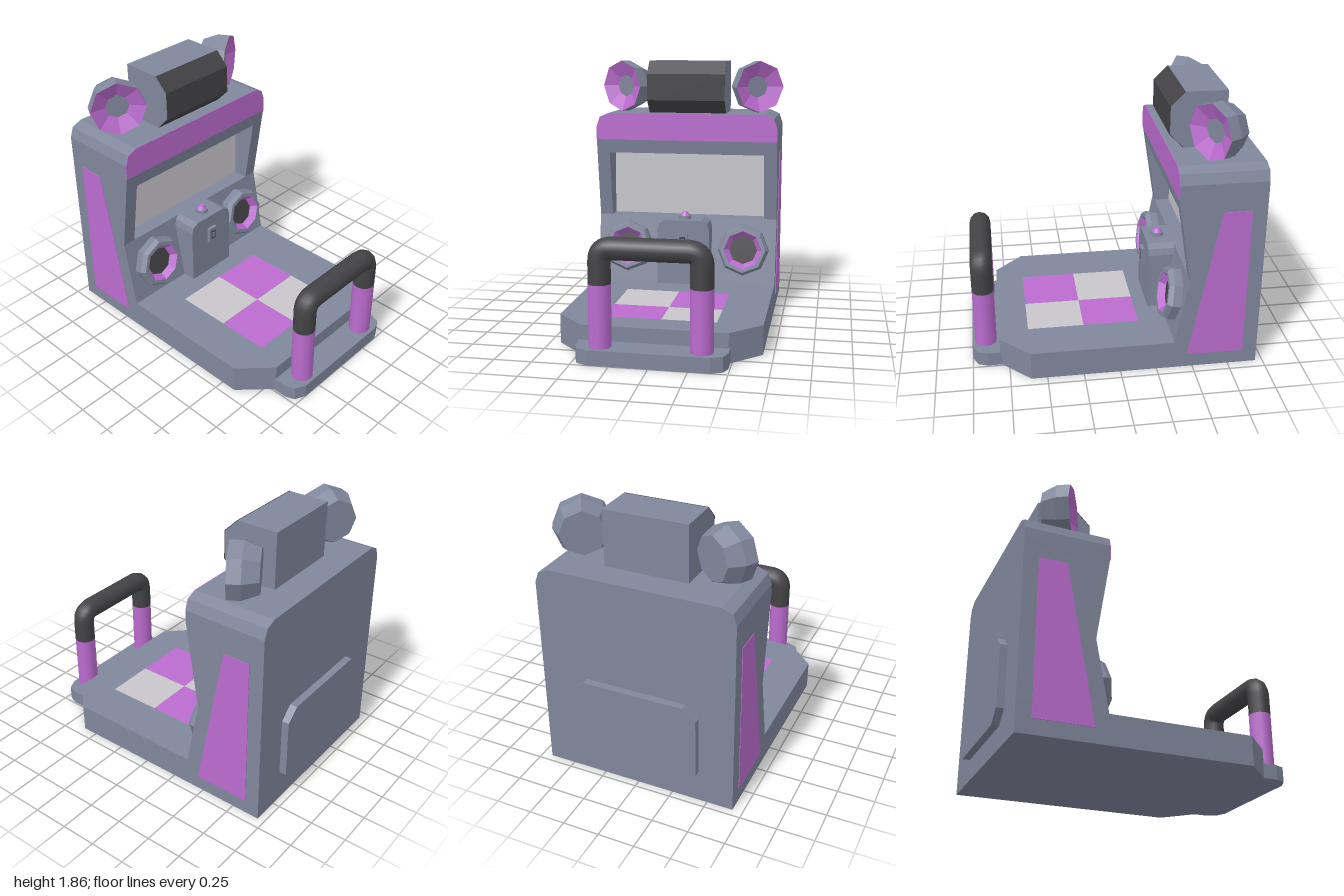
import * as THREE from 'three';

const mat = (name, color) => {
  const m = new THREE.MeshStandardMaterial({ color });
  m.name = name;
  return m;
};

export function createModel() {
  const root = new THREE.Group();
  const grey = mat('blue grey', 0x80879c);
  const purple = mat('purple', 0xbb6ccf);
  const light = mat('light grey', 0xc8c6cb);
  const dark = mat('charcoal', 0x444346);

  const add = (name, geo, material, parent = root) => {
    const mesh = new THREE.Mesh(geo, material);
    mesh.name = name;
    parent.add(mesh);
    return mesh;
  };
  const box = (name, material, x0, x1, y0, y1, z0, z1) =>
    add(name, new THREE.BoxGeometry(x1 - x0, y1 - y0, z1 - z0)
      .translate((x0 + x1) / 2, (y0 + y1) / 2, (z0 + z1) / 2), material);
  const shapeOf = pts => new THREE.Shape(pts.map(p => new THREE.Vector2(...p)));
  const extrude = (shape, depth) => new THREE.ExtrudeGeometry(shape, { depth, bevelEnabled: false });
  // Side profile of [z, y] points, extruded from x0 to x1
  const alongX = (pts, x0, x1) =>
    extrude(shapeOf(pts.map(([z, y]) => [-z, y])), x1 - x0).rotateY(Math.PI / 2).translate(x0, 0, 0);
  // Front outline of [x, y] points, extruded from z0 to z1
  const alongZ = (pts, z0, z1) => extrude(shapeOf(pts), z1 - z0).translate(0, 0, z0);
  // Plan shape drawn in [x, -z], extruded from y0 to y1
  const alongY = (shape, y0, y1) => extrude(shape, y1 - y0).rotateX(-Math.PI / 2).translate(0, y0, 0);
  // Complete a right-hand half outline by mirroring it in x
  const mirror = half => [...half, ...half.map(([x, y]) => [-x, y]).reverse()];
  // Faceted eight-sided surface about z, profile of [radius, z]
  const octagon = pts => {
    const g = new THREE.LatheGeometry(pts.map(p => new THREE.Vector2(...p)), 8)
      .rotateX(Math.PI / 2).toNonIndexed();
    g.computeVertexNormals();
    return g;
  };

  // Platform with a shallow recess for the dance pads
  const W = 0.68, back = -0.95;
  const plan = mirror([[W, -back], [W, -0.61], [0.48, -0.81]]);
  const rim = shapeOf(plan);
  const px = [-0.405, -0.012, 0.378], pz = [-0.18, 0.214, 0.61];
  rim.holes.push(new THREE.Path([[px[0], -pz[0]], [px[2], -pz[0]], [px[2], -pz[2]], [px[0], -pz[2]]]
    .map(p => new THREE.Vector2(...p))));
  add('platformBase', alongY(shapeOf(plan), 0, 0.16), grey);
  add('platformRim', alongY(rim, 0.16, 0.2), grey);
  for (let i = 0; i < 2; i++)
    for (let j = 0; j < 2; j++)
      box('dancePad', i === j ? light : purple, px[i], px[i + 1], 0.16, 0.164, pz[j], pz[j + 1]);

  // Front step carrying the hand rail
  add('frontStep', alongY(shapeOf(mirror(
    [[0.49, -0.8], [0.49, -0.9], [0.465, -0.965], [0.39, -1]])), 0, 0.1), grey);

  // Hand rail: purple posts and a charcoal grip with tight bends
  const railZ = 0.905, legX = 0.325, r = 0.075;
  for (const s of [-1, 1])
    add('railPost', new THREE.CylinderGeometry(r, r, 0.41, 12).translate(s * legX, 0.305, railZ), purple);
  const v = (x, y) => new THREE.Vector3(x, y, railZ);
  const grip = new THREE.CurvePath();
  const bend = (a, b, c) => grip.add(new THREE.QuadraticBezierCurve3(a, b, c));
  grip.add(new THREE.LineCurve3(v(-legX, 0.51), v(-legX, 0.65)));
  bend(v(-legX, 0.65), v(-legX, 0.735), v(-0.24, 0.735));
  grip.add(new THREE.LineCurve3(v(-0.24, 0.735), v(0.24, 0.735)));
  bend(v(0.24, 0.735), v(legX, 0.735), v(legX, 0.65));
  grip.add(new THREE.LineCurve3(v(legX, 0.65), v(legX, 0.51)));
  add('railGrip', new THREE.TubeGeometry(grip, 64, r, 12), dark);

  // Cabinet: lower block, two pillars beside the screen, rear block and top
  const waistZ = -0.46, topZ = -0.37;
  const slopeZ = y => waistZ + (topZ - waistZ) * (y - 0.68) / 0.59;
  const screenZ = -0.57, sw = 0.585;
  add('lowerCabinet', alongX([[back, 0.2], [topZ, 0.2], [waistZ, 0.68], [back, 0.68]], -W, W), grey);
  const pillar = [[back, 0.68], [waistZ, 0.68], [slopeZ(1.17), 1.17], [back, 1.17]];
  add('rightPillar', alongX(pillar, -W, -sw), grey);
  add('leftPillar', alongX(pillar, sw, W), grey);
  box('rearBlock', grey, -sw, sw, 0.68, 1.17, back, screenZ - 0.005);
  box('screen', light, -sw, sw, 0.68, 1.17, screenZ - 0.005, screenZ);
  add('screenLintel', alongX([[back, 1.17], [slopeZ(1.17), 1.17], [topZ, 1.27], [back, 1.27]], -W, W), grey);
  const header = mirror([[W, 1.27], [W, 1.37], [0.655, 1.44], [0.585, 1.47]]);
  add('cabinetTop', alongZ(header, back, topZ), grey);
  add('headerPanel', alongZ(header, topZ, topZ + 0.004), purple);

  // Painted side panels
  const stripe = [[-0.46, 0.1], [-0.85, 0.1], [-0.85, 1.17], [-0.66, 1.17]];
  add('leftSidePanel', alongX(stripe, W, W + 0.004), purple);
  add('rightSidePanel', alongX(stripe, -W - 0.004, -W), purple);

  // Rear service hatch with cut corners
  add('rearHatch', alongZ(mirror([[0.35, 0.15], [0.44, 0.23], [0.44, 0.65], [0.35, 0.73]]), -1, back), grey);

  // Coin box with slot and start button
  add('coinBox', alongZ(mirror(
    [[0.195, 0.2], [0.195, 0.615], [0.18, 0.66], [0.135, 0.685]]), -0.48, -0.27), grey);
  box('coinPlate', grey, -0.038, 0.036, 0.468, 0.588, -0.27, -0.245);
  box('coinSlot', dark, -0.02, 0.018, 0.495, 0.565, -0.245, -0.243);
  box('coinTab', grey, -0.012, 0.01, 0.51, 0.55, -0.243, -0.238);
  add('buttonCollar', new THREE.CylinderGeometry(0.045, 0.048, 0.025, 10).translate(0, 0.697, -0.365), grey);
  add('startButton', new THREE.CylinderGeometry(0.018, 0.036, 0.025, 10).translate(0, 0.722, -0.365), purple);

  for (const s of [-1, 1]) {
    // Lower speaker, tilted to lie on the sloped panel
    const low = new THREE.Group();
    low.name = s > 0 ? 'leftLowerSpeaker' : 'rightLowerSpeaker';
    low.position.set(s * 0.44, 0.447, -0.418);
    low.rotation.x = -Math.atan2(0.09, 0.48);
    add('speakerRim', octagon([[0.19, -0.01], [0.19, 0.06], [0.17, 0.092], [0.142, 0.092]]), grey, low);
    add('speakerCone', octagon([[0.142, 0.092], [0.105, 0.045]]), purple, low);
    add('speakerCore', octagon([[0.105, 0.045], [0, 0.045]]), dark, low);
    root.add(low);

    // Upper horn, turned outward
    const horn = new THREE.Group();
    horn.name = s > 0 ? 'leftHorn' : 'rightHorn';
    horn.position.set(s * 0.533, 1.662, -0.58);
    horn.rotation.y = s * Math.PI / 6;
    add('hornShell', octagon([[0, -0.195], [0.15, -0.195], [0.193, -0.09], [0.193, 0]]), grey, horn);
    add('hornCone', octagon([[0.193, 0], [0.083, -0.05]]), purple, horn);
    add('hornCore', octagon([[0.083, -0.05], [0, -0.05]]), grey, horn);
    root.add(horn);
  }

  // Top light box with a charcoal bevelled front
  const fz = -0.375, bz = -0.47;
  add('lightBox', alongX([[-0.755, 1.47], [bz, 1.47], [fz, 1.57], [fz, 1.76], [bz, 1.855], [-0.755, 1.855]],
    -0.29, 0.29), grey);
  add('lightBoxFront', alongX([[bz, 1.47], [fz, 1.57], [fz, 1.76], [bz, 1.855],
    [bz + 0.004, 1.857], [fz + 0.005, 1.762], [fz + 0.005, 1.568], [bz + 0.004, 1.47]], -0.29, 0.29), dark);

  return root;
}
